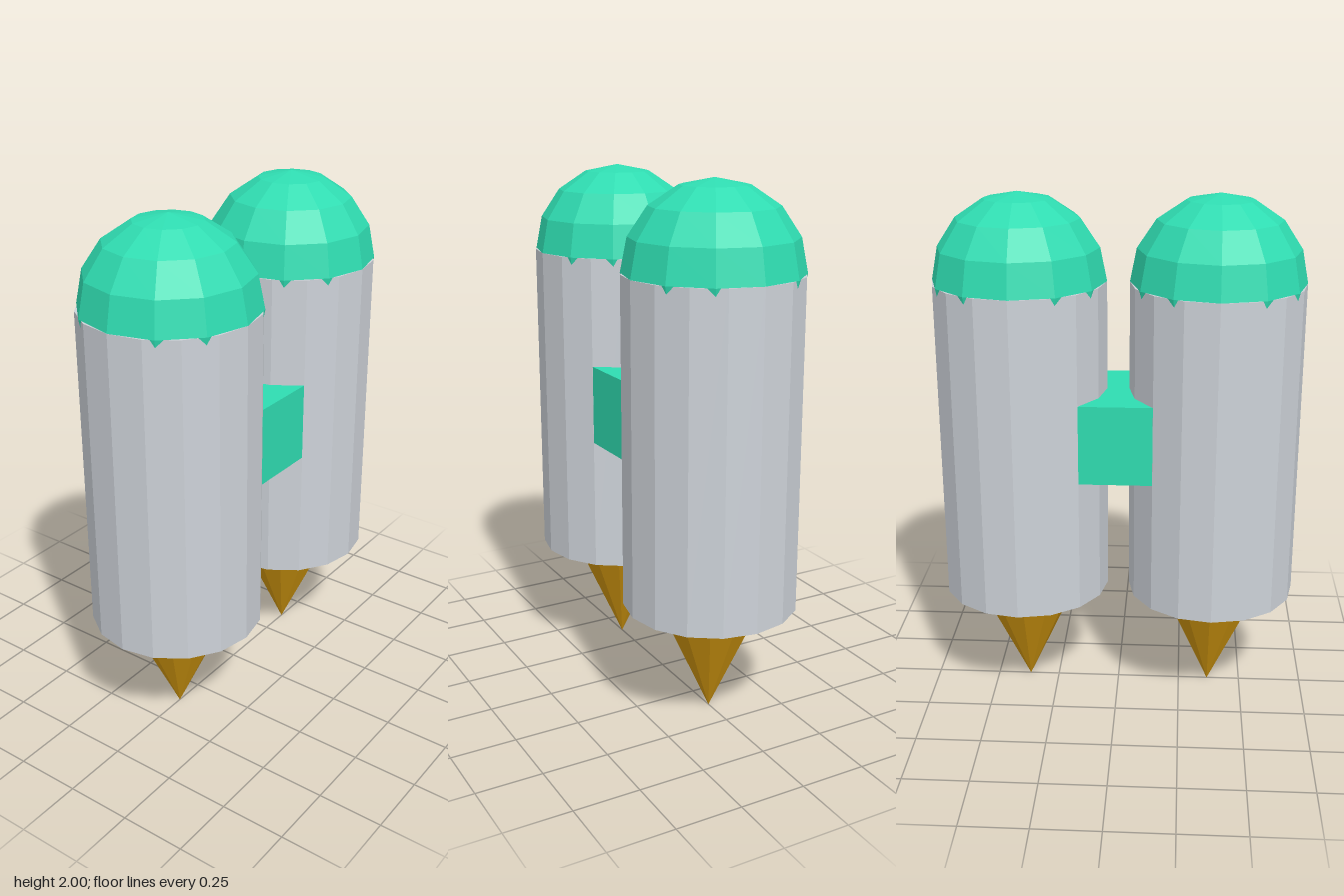
import * as THREE from 'three';

const flat = (name, color) => {
  const m = new THREE.MeshStandardMaterial({ color, flatShading: true });
  m.name = name;
  return m;
};

export function createModel() {
  const teal = flat('teal', 0x2fdcb1);
  const silver = flat('silver', 0xcdd2d8);
  const amber = flat('amber', 0xd0960f);

  const model = new THREE.Group();
  model.name = 'twinTankPack';

  const add = (parent, name, geometry, material, y) => {
    const mesh = new THREE.Mesh(geometry, material);
    mesh.name = name;
    mesh.position.y = y;
    parent.add(mesh);
  };

  const radius = 0.326, bottom = 0.44, shoulder = 1.674;

  for (const [side, x] of [['left', 0.368], ['right', -0.368]]) {
    const tank = new THREE.Group();
    tank.name = side + 'Tank';
    tank.position.x = x;

    // Sixteen-sided tank body
    add(tank, 'body', new THREE.CylinderGeometry(radius, radius, shoulder - bottom, 16), silver, (shoulder + bottom) / 2);
    // Faceted dome, sunk slightly into the body
    add(tank, 'dome', new THREE.SphereGeometry(radius, 12, 8), teal, shoulder);
    // Pointed flame below
    add(tank, 'flame', new THREE.CylinderGeometry(0.204, 0, bottom, 12), amber, bottom / 2);
    model.add(tank);
  }

  // Bridge joining the two tanks
  add(model, 'bridge', new THREE.BoxGeometry(0.36, 0.305, 0.46), teal, 1.108);
  return model;
}
